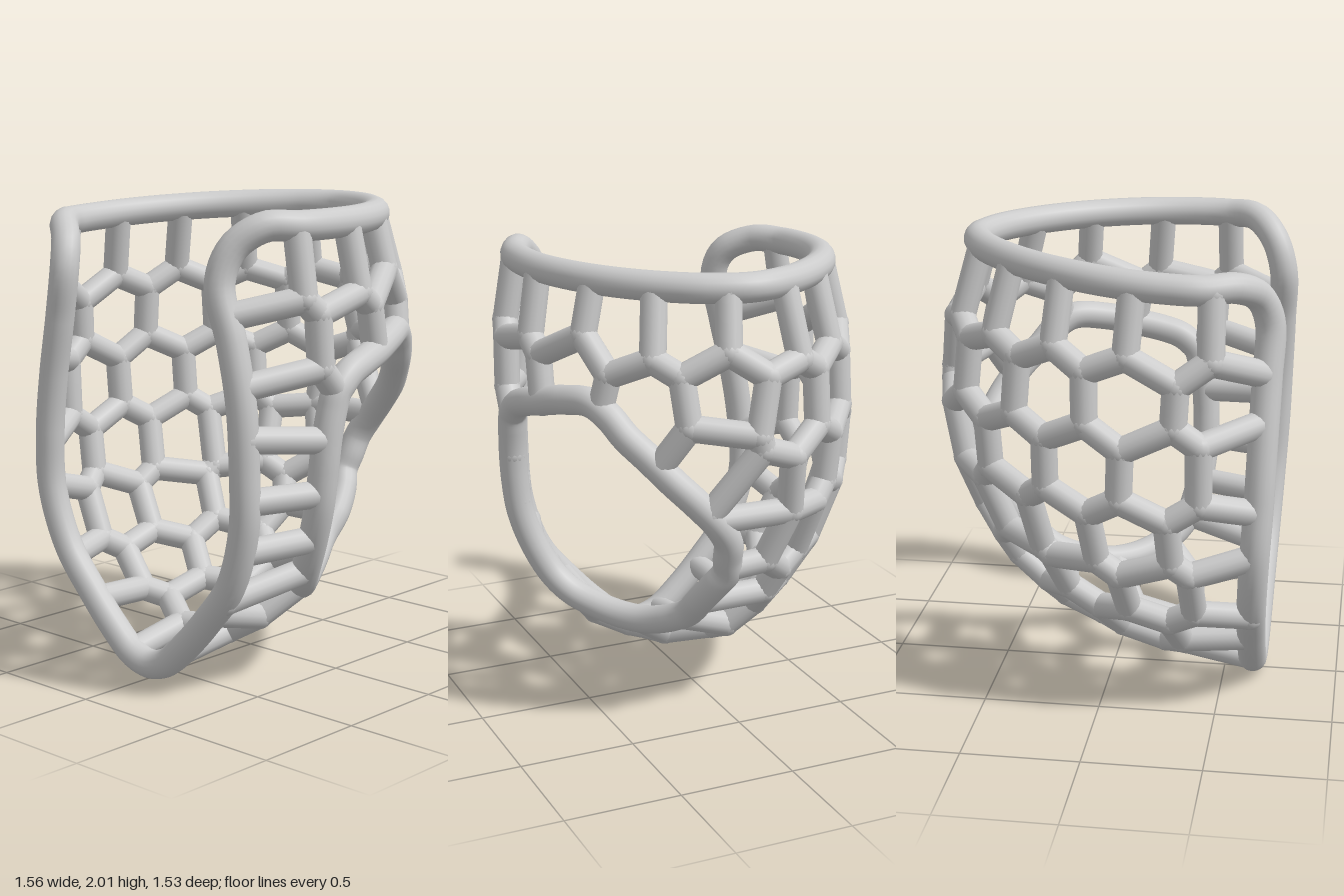
import * as THREE from 'three';
import { mergeGeometries } from 'three/addons/utils/BufferGeometryUtils.js';

const V = (x, y, z) => new THREE.Vector3(x, y, z);
const LOW = 0.06;

// Profiles against height: back line, half width, fullness at the back, and the front edge on each side
const BACK = [[.06, .63], [.1, .46], [.14, .32], [.23, 0], [.35, -.25], [.6, -.5], [.95, -.66], [1.15, -.71], [1.4, -.72], [1.65, -.68], [1.95, -.585]];
const WIDTH = [[.06, 0], [.09, .1], [.18, .23], [.3, .38], [.45, .52], [.6, .61], [.8, .68], [1, .71], [1.3, .72], [1.6, .71], [1.95, .65]];
const FULL = [[.5, 0], [1, .05], [1.65, .06], [1.95, .04]];
const EDGE_L = [[.06, 0], [.09, .1], [.18, .21], [.45, .47], [.75, .57], [1.1, .59], [1.4, .56], [1.7, .47], [1.95, .47]];
const EDGE_R = [[.06, 0], [.09, .1], [.18, .21], [.45, .47], [.75, .57], [1.1, .56], [1.4, .49], [1.7, .43], [1.95, .43]];
const EDGE_Z = [[.06, .63], [.4, .64], [1, .67], [1.7, .69], [1.95, .66]];

// Side opening, as a smooth loop of (z, y) on the +x side
const HOLE = new THREE.SplineCurve([[.28, 1.27], [.2, 1.34], [0, 1.4], [-.28, 1.45], [-.42, 1.33], [-.56, 1.16], [-.625, .97],
  [-.575, .8], [-.5, .66], [-.31, .47], [-.08, .37], [.13, .39], [.27, .51], [.33, .8], [.32, 1.1], [.28, 1.27]]
  .map(([z, y]) => new THREE.Vector2(z, y))).getPoints(60).slice(0, -1);

// Cell centres in rows up the wall: height, then positions round the shell
const ROWS = [
  [1.75, [-.88, -.68, -.5, -.33, -.19, -.03, .15, .31, .48, .66, .87]],
  [1.45, [-.8, -.59, -.42, -.25, -.087, .25, .43, .62, .83]],
  [1.51, [.087]],
  [1.26, [.07]],
  [1.13, [-.88, -.69, -.5, -.33, -.15]],
  [1.05, [0]],
  [.82, [-.78, -.58, -.4, -.26, -.12]],
  [.86, [0]],
  [.67, [0]],
  [.56, [-.87, -.65, -.43, -.23]],
  [.48, [-.04]],
];
// Cell centres across the underside: depth, then x
const UNDER = [[-.13, [-.25, .06]], [.15, [-.4, -.1, .24]], [.45, [-.44, -.23, .02]]];
// Cell heights in the strip between the side opening and the front edge
const STRIP = [1.21, .96, .73, .56, .4, .24];

function lerpTable(table, y) {
  let i = 1;
  while (i < table.length - 1 && table[i][0] < y) i++;
  const [a, b] = [table[i - 1], table[i]];
  return a[1] + (b[1] - a[1]) * THREE.MathUtils.clamp((y - a[0]) / (b[0] - a[0]), 0, 1);
}

// Height of the top edge, which dips towards the right-hand end
const topY = u => 1.94 - .05 * THREE.MathUtils.smoothstep(-u, .1, .9);

// Point on the shell: u runs -1..1 from one front edge round the back to the other
function shell(u, y) {
  const w = Math.max(lerpTable(WIDTH, y), 0.001), zb = lerpTable(BACK, y), zf = lerpTable(EDGE_Z, y);
  const full = lerpTable(FULL, y);
  const side = [[.42 + full, .11], [.8 + full, .36], [1, .62], [.97, .84]];
  const pts = [V(-lerpTable(EDGE_R, y) / w, 0, 1), ...side.map(([f, t]) => V(-f, 0, t)).reverse(),
    V(0, 0, 0), ...side.map(([f, t]) => V(f, 0, t)), V(lerpTable(EDGE_L, y) / w, 0, 1)];
  const p = new THREE.CatmullRomCurve3(pts).getPoint((u + 1) / 2);
  return V(p.x * w, y, zb + p.z * (zf - zb));
}

// Point on the +x half of the shell at a given z and height
function shellAtZ(z, y) {
  let a = 0, b = 1;
  for (let i = 0; i < 24; i++) {
    const m = (a + b) / 2;
    if (shell(m, y).z < z) a = m; else b = m;
  }
  return shell(a, y);
}

function inHole(p) {
  if (p.x <= 0) return false;
  let inside = false;
  HOLE.forEach((a, i) => {
    const b = HOLE[(i + 1) % HOLE.length];
    if ((a.y > p.y) !== (b.y > p.y) && p.z < a.x + (b.x - a.x) * (p.y - a.y) / (b.y - a.y)) inside = !inside;
  });
  return inside;
}

// Cell borders of evenly spread seeds on the shell give the honeycomb
function honeycomb() {
  const NU = 200, NV = 130, at = (i, j) => j * (NU + 1) + i;
  const pts = [], area = [], label = [];
  for (let j = 0; j <= NV; j++) for (let i = 0; i <= NU; i++) {
    const u = i / NU * 2 - 1;
    pts.push(shell(u, LOW + (topY(u) - LOW) * Math.pow(j / NV, 1.5)));
  }
  for (let j = 0; j <= NV; j++) for (let i = 0; i <= NU; i++) {
    const k = at(i, j);
    const border = i === 0 || j === 0 || i === NU || j === NV;
    label[k] = border ? -1 : inHole(pts[k]) ? -2 : 0;
    area[k] = border ? 0 : pts[at(i + 1, j)].clone().sub(pts[at(i - 1, j)])
      .cross(pts[at(i, j + 1)].clone().sub(pts[at(i, j - 1)])).length();
  }

  const seeds = STRIP.map(y => shellAtZ(.5, y));
  for (const [y, us] of ROWS) for (const u of us) seeds.push(shell(u, y));
  const low = pts.filter((p, k) => p.y < .6 && label[k] === 0);
  for (const [z, xs] of UNDER) for (const x of xs)
    seeds.push(low.reduce((a, p) => Math.hypot(p.x - x, p.z - z) < Math.hypot(a.x - x, a.z - z) ? p : a).clone());

  // Relax the seeds towards the centres of their cells
  const PASSES = 4;
  for (let pass = 0; pass < PASSES; pass++) {
    const sum = seeds.map(() => V(0, 0, 0)), mass = seeds.map(() => 0);
    pts.forEach((p, k) => {
      if (label[k] < 0) return;
      let best = Infinity;
      seeds.forEach((s, n) => {
        const d = s.distanceToSquared(p);
        if (d < best) { best = d; label[k] = n; }
      });
      sum[label[k]].addScaledVector(p, area[k]);
      mass[label[k]] += area[k];
    });
    if (pass < PASSES - 1) seeds.forEach((s, n) => { if (mass[n] > 0) s.copy(sum[n]).divideScalar(mass[n]); });
  }

  // Nodes lie where three cells, or two cells and a rim, meet
  const nodes = new Map();
  for (let j = 0; j < NV; j++) for (let i = 0; i < NU; i++) {
    const quad = [at(i, j), at(i + 1, j), at(i, j + 1), at(i + 1, j + 1)];
    const set = [...new Set(quad.map(k => label[k]))].sort((a, b) => a - b);
    if (set.length < 3) continue;
    const key = set.join();
    if (!nodes.has(key)) nodes.set(key, { set, pos: V(0, 0, 0), n: 0 });
    const node = nodes.get(key);
    quad.forEach(k => node.pos.add(pts[k]));
    node.n += 4;
  }
  const pairs = new Map();
  for (const { set, pos, n } of nodes.values()) {
    pos.divideScalar(n);
    const cells = set.filter(l => l >= 0);
    cells.forEach((a, i) => cells.slice(i + 1).forEach(b => {
      const key = a + '_' + b;
      pairs.set(key, [...(pairs.get(key) || []), pos]);
    }));
  }
  // Each pair of neighbouring cells shares one strut
  const struts = [];
  for (const list of pairs.values()) {
    let best = null, far = 0.02;
    list.forEach((a, i) => list.slice(i + 1).forEach(b => {
      if (a.distanceTo(b) > far) { far = a.distanceTo(b); best = [a, b]; }
    }));
    if (best) struts.push(best);
  }
  return { nodes: [...nodes.values()].map(n => n.pos), struts };
}

function strutGeometry([a, b], r) {
  const d = b.clone().sub(a);
  const g = new THREE.CylinderGeometry(r, r, d.length(), 14, 1, true);
  g.applyQuaternion(new THREE.Quaternion().setFromUnitVectors(V(0, 1, 0), d.normalize()));
  const m = a.clone().add(b).multiplyScalar(0.5);
  return g.translate(m.x, m.y, m.z);
}

export function createModel() {
  const group = new THREE.Group();
  const material = new THREE.MeshStandardMaterial({ color: 0xcccccc });
  const add = (name, geometry) => {
    const mesh = new THREE.Mesh(geometry, material);
    mesh.name = name;
    group.add(mesh);
  };
  const loop = pts => new THREE.TubeGeometry(new THREE.CatmullRomCurve3(pts, true), 240, 0.062, 16, true);

  // Outer rim: up one front edge, round the top, down the other
  const heights = [.09, .18, .32, .5, .75, 1, 1.25, 1.5, 1.72];
  const rim = [V(0, .062, .63), ...heights.map(y => shell(1, y)), shell(.97, 1.86)];
  for (let u = .88; u > -.9; u -= .11) rim.push(shell(u, topY(u)));
  rim.push(shell(-.97, 1.83), ...heights.map(y => shell(-1, y)).reverse());
  add('outerRim', loop(rim));

  // Rim of the side opening
  add('sideOpeningRim', loop(HOLE.filter((p, i) => i % 2 === 0).map(p => shellAtZ(p.x, p.y))));

  // Honeycomb struts and their rounded joints
  const { nodes, struts } = honeycomb();
  add('latticeStruts', mergeGeometries(struts.map(s => strutGeometry(s, 0.056))));
  add('latticeJoints', mergeGeometries(nodes.map(p => new THREE.SphereGeometry(0.058, 14, 10).translate(p.x, p.y, p.z))));
  return group;
}
